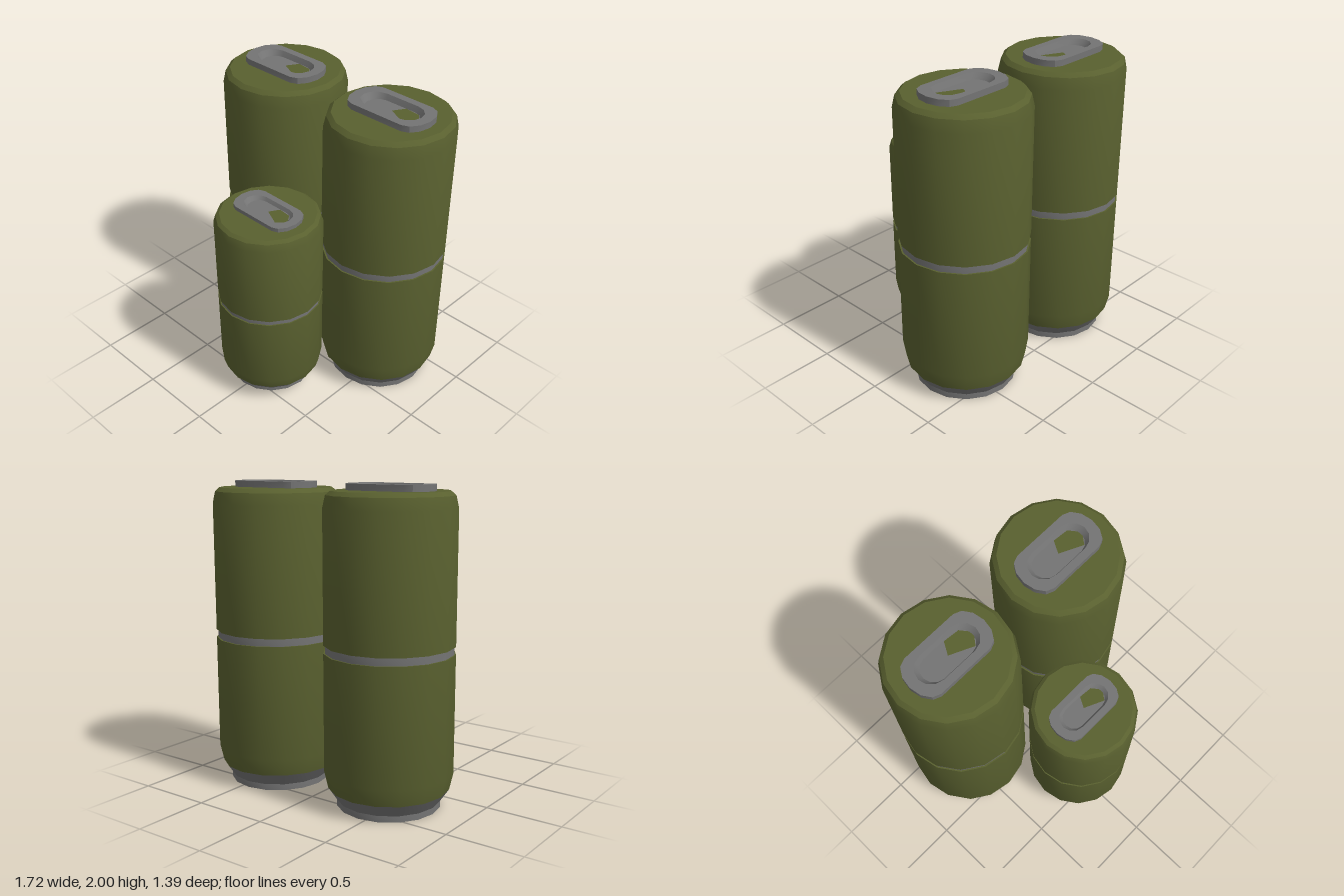
import * as THREE from 'three';
import { toCreasedNormals } from 'three/addons/utils/BufferGeometryUtils.js';

const SIDES = 16;
const olive = new THREE.MeshStandardMaterial({ color: 0x59602f });
const grey = new THREE.MeshStandardMaterial({ color: 0xcccccc });
grey.color.set(0x747474);

function part(name, geometry, material) {
  const mesh = new THREE.Mesh(geometry, material);
  mesh.name = name;
  return mesh;
}

// Turned surface from [radius, height] pairs, listed bottom to top
function turned(name, profile, material) {
  const points = profile.map(([r, y]) => new THREE.Vector2(r, y));
  return part(name, toCreasedNormals(new THREE.LatheGeometry(points, SIDES), 0.48), material);
}

// Slot outline: straight sides with elliptical ends
function slotOutline(halfLength, halfWidth, straight) {
  const points = [];
  for (const end of [1, -1]) {
    for (let i = 0; i <= 6; i++) {
      const a = -Math.PI / 2 + (Math.PI * i) / 6;
      points.push(new THREE.Vector2(
        end * (straight + (halfLength - straight) * Math.cos(a)),
        end * halfWidth * Math.sin(a)));
    }
  }
  return points;
}

// Skin joining a series of outlines, each at its own height
function skin(rings) {
  const positions = [];
  const put = (ring, i) => {
    const p = ring.outline[i % ring.outline.length];
    positions.push(p.x, ring.y, -p.y);
  };
  for (let k = 0; k < rings.length - 1; k++) {
    const a = rings[k], b = rings[k + 1];
    for (let i = 0; i < a.outline.length; i++) {
      put(a, i); put(a, i + 1); put(b, i + 1);
      put(a, i); put(b, i + 1); put(b, i);
    }
  }
  const geometry = new THREE.BufferGeometry();
  geometry.setAttribute('position', new THREE.Float32BufferAttribute(positions, 3));
  return toCreasedNormals(geometry, 0.6);
}

function flat(points, y) {
  return new THREE.ShapeGeometry(new THREE.Shape(points)).rotateX(-Math.PI / 2).translate(0, y, 0);
}

function createCanister(name) {
  const canister = new THREE.Group();
  canister.name = name;

  // Foot with a hollow underside
  canister.add(turned('foot', [
    [0, 0.06], [0.25, 0.06], [0.26, 0], [0.33, 0], [0.33, 0.04], [0.385, 0.12],
  ], grey));

  // Two body halves and the band between them
  canister.add(turned('lowerBody', [[0.385, 0.12], [0.41, 0.23], [0.41, 0.98], [0.4, 0.98]], olive));
  canister.add(turned('band', [[0.4, 0.98], [0.4, 1.03]], grey));
  canister.add(turned('upperBody', [
    [0.4, 1.03], [0.41, 1.03], [0.41, 1.86], [0.393, 1.935], [0.365, 1.96], [0, 1.96],
  ], olive));

  // Raised cap with a tapering slot
  const slotFloor = slotOutline(0.19, 0.085, 0.11);
  canister.add(part('cap', skin([
    { outline: slotOutline(0.288, 0.15, 0.19), y: 1.955 },
    { outline: slotOutline(0.288, 0.15, 0.19), y: 2 },
    { outline: slotOutline(0.222, 0.1, 0.12), y: 2 },
    { outline: slotFloor, y: 1.963 },
  ]), grey));
  canister.add(part('slotFloor', flat(slotFloor, 1.963), grey));

  // Olive patches in the slot and under the foot
  const patch = [[0, 0], [0.15, -0.07], [0.188, -0.02], [0.188, 0.02], [0.15, 0.07], [0.045, 0.08]];
  canister.add(part('slotPatch', flat(patch.map(([x, y]) => new THREE.Vector2(x, y)), 1.966), olive));
  const sector = new THREE.CircleGeometry(0.24, 5, -1, 1.47).rotateX(Math.PI / 2).translate(0, 0.057, 0);
  canister.add(part('footPatch', sector, olive));
  return canister;
}

export function createModel() {
  const model = new THREE.Group();
  model.name = 'canisterSet';

  // Two tall canisters behind
  for (const side of [1, -1]) {
    const tall = createCanister(side > 0 ? 'leftTallCanister' : 'rightTallCanister');
    tall.position.set(side * 0.45, 0, -0.287);
    model.add(tall);
  }

  // Smaller canister in front
  const small = createCanister('smallCanister');
  small.scale.set(0.84, 0.648, 0.84);
  small.position.set(0.03, 0.075, 0.35);
  model.add(small);
  return model;
}
